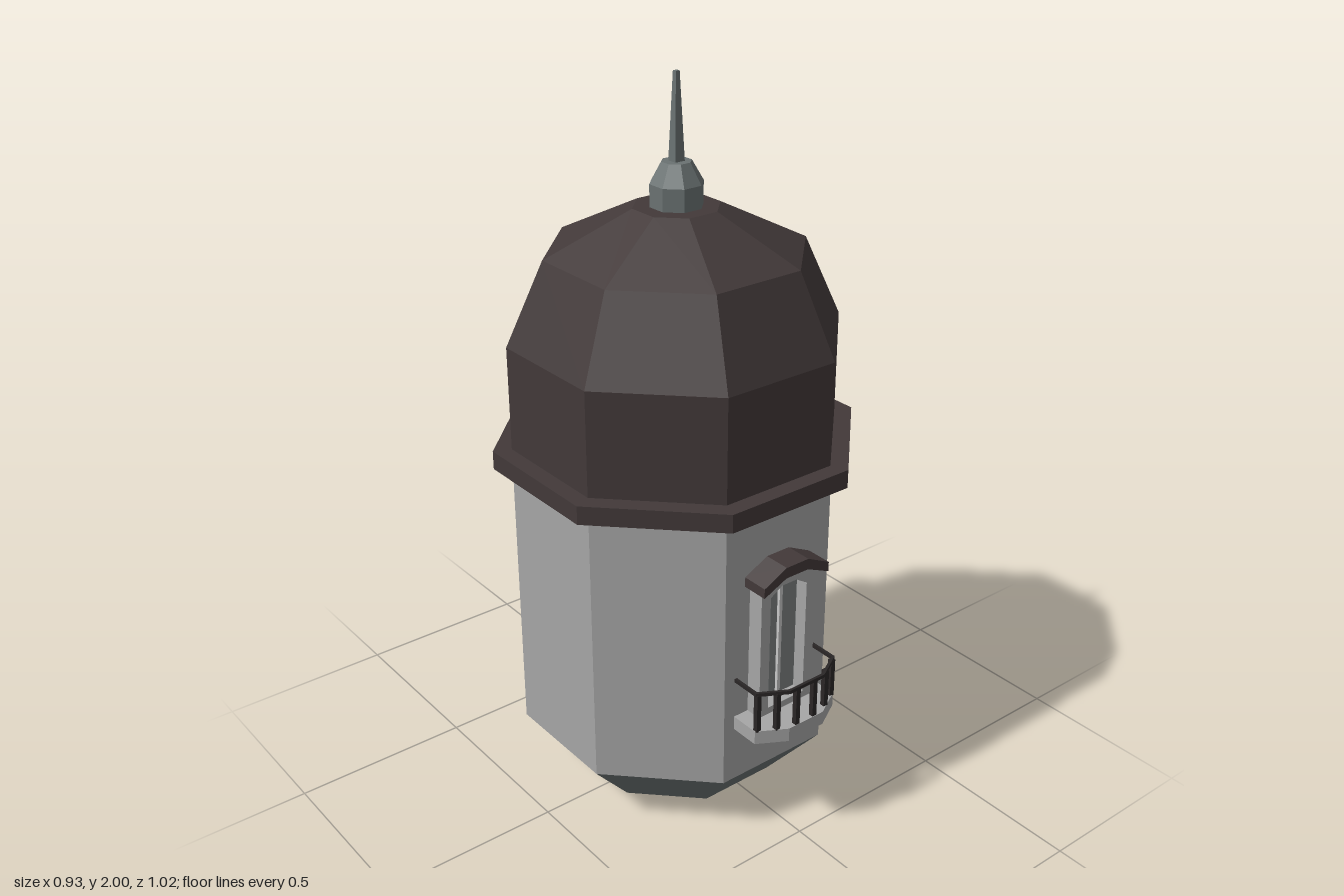
import * as THREE from 'three';

const mat = (name, color) => {
  const m = new THREE.MeshStandardMaterial({ color });
  m.name = name;
  return m;
};

// Faceted normals for every part
function faceted(g) {
  const f = g.index ? g.toNonIndexed() : g;
  f.computeVertexNormals();
  return f;
}

// Prism-like solid of revolution; profile is [apothem, y] from bottom to top, flats facing the axes
function turned(profile, sides = 8) {
  const k = 1 / Math.cos(Math.PI / sides);
  const pts = profile.map(([a, y]) => new THREE.Vector2(a * k, y));
  return faceted(new THREE.LatheGeometry(pts, sides, Math.PI / sides));
}

const shapeOf = (pts) => new THREE.Shape(pts.map(([x, y]) => new THREE.Vector2(x, y)));

// Upright plate in the front wall, from z0 outwards
function plate(shape, z0, depth) {
  const g = new THREE.ExtrudeGeometry(shape, { depth, bevelEnabled: false });
  return faceted(g.translate(0, 0, z0));
}

// Horizontal slab from a plan outline given as [x, z]
function slab(plan, y0, height) {
  const s = shapeOf(plan.map(([x, z]) => [x, -z]));
  const g = new THREE.ExtrudeGeometry(s, { depth: height, bevelEnabled: false });
  return faceted(g.rotateX(-Math.PI / 2).translate(0, y0, 0));
}

// Opening outline with a three-sided arched head
const arched = (w, bottom, side, top, flat) =>
  [[-w, bottom], [w, bottom], [w, side], [flat, top], [-flat, top], [-w, side]];

export function createModel() {
  const stone = mat('wallStone', 0xa6a6a6);
  const roof = mat('roofBrown', 0x423939);
  const slate = mat('slateGrey', 0x6a7272);
  const glass = mat('windowGlass', 0x7c8080);
  const pale = mat('paleMullion', 0xc8c8c8);
  const iron = mat('railingIron', 0x2a2626);

  const model = new THREE.Group();
  model.name = 'turret';
  const add = (name, geometry, material, parent = model) => {
    const m = new THREE.Mesh(geometry, material);
    m.name = name;
    parent.add(m);
    return m;
  };

  // Octagonal tower
  const tower = new THREE.Group();
  tower.name = 'tower';
  tower.position.z = -0.043;
  model.add(tower);
  add('taperedBase', turned([[0, 0], [0.275, 0], [0.42, 0.175]]), slate, tower);
  add('wall', turned([[0.42, 0.175], [0.42, 0.98]]), stone, tower);
  add('cornice', turned([[0.4, 0.978], [0.467, 0.978], [0.467, 1.03], [0.4, 1.03]]), roof, tower);
  add('dome', turned([[0.42, 1.03], [0.42, 1.32], [0.325, 1.545], [0.108, 1.66], [0, 1.66]]), roof, tower);
  add('finial', turned([[0.066, 1.655], [0.066, 1.72], [0.037, 1.775], [0, 1.775]]), slate, tower);
  add('spike', turned([[0.015, 1.77], [0.006, 2], [0, 2]], 4), slate, tower);

  // Window
  const win = new THREE.Group();
  win.name = 'window';
  model.add(win);
  const frame = shapeOf(arched(0.093, 0.375, 0.78, 0.807, 0.035));
  frame.holes.push(new THREE.Path(
    arched(0.062, 0.4, 0.742, 0.765, 0.025).map(([x, y]) => new THREE.Vector2(x, y))));
  add('windowFrame', plate(frame, 0.37, 0.054), stone, win);
  add('windowPane', plate(shapeOf(arched(0.064, 0.4, 0.744, 0.767, 0.025)), 0.378, 0.008), glass, win);
  add('mullion', plate(shapeOf([[-0.005, 0.4], [0.005, 0.4], [0.005, 0.766], [-0.005, 0.766]]), 0.38, 0.015), pale, win);

  // Angled hood over the window
  const hood = shapeOf([[-0.11, 0.772], [-0.037, 0.805], [0.037, 0.805], [0.11, 0.772],
    [0.11, 0.8], [0.037, 0.836], [-0.037, 0.836], [-0.11, 0.8]]);
  add('windowHood', plate(hood, 0.37, 0.083), roof, win);

  // Balcony
  const balcony = new THREE.Group();
  balcony.name = 'balcony';
  model.add(balcony);
  const outline = (i) => [[-0.14 + i, 0.37], [-0.14 + i, 0.462 - i * 0.5], [-0.06 + i * 0.3, 0.508 - i],
    [0.06 - i * 0.3, 0.508 - i], [0.14 - i, 0.462 - i * 0.5], [0.14 - i, 0.37]];
  add('balconyFloor', slab(outline(0), 0.34, 0.04), stone, balcony);
  add('handrail', slab([...outline(0), ...outline(0.008).reverse()], 0.49, 0.01), iron, balcony);

  // Balusters, mirrored left and right
  for (const side of [-1, 1]) {
    for (const [x, z] of [[0.03, 0.5], [0.085, 0.485], [0.131, 0.46]]) {
      const g = new THREE.BoxGeometry(0.014, 0.114, 0.014).translate(side * x, 0.435, z);
      add('baluster', faceted(g), iron, balcony);
    }
  }
  return model;
}
